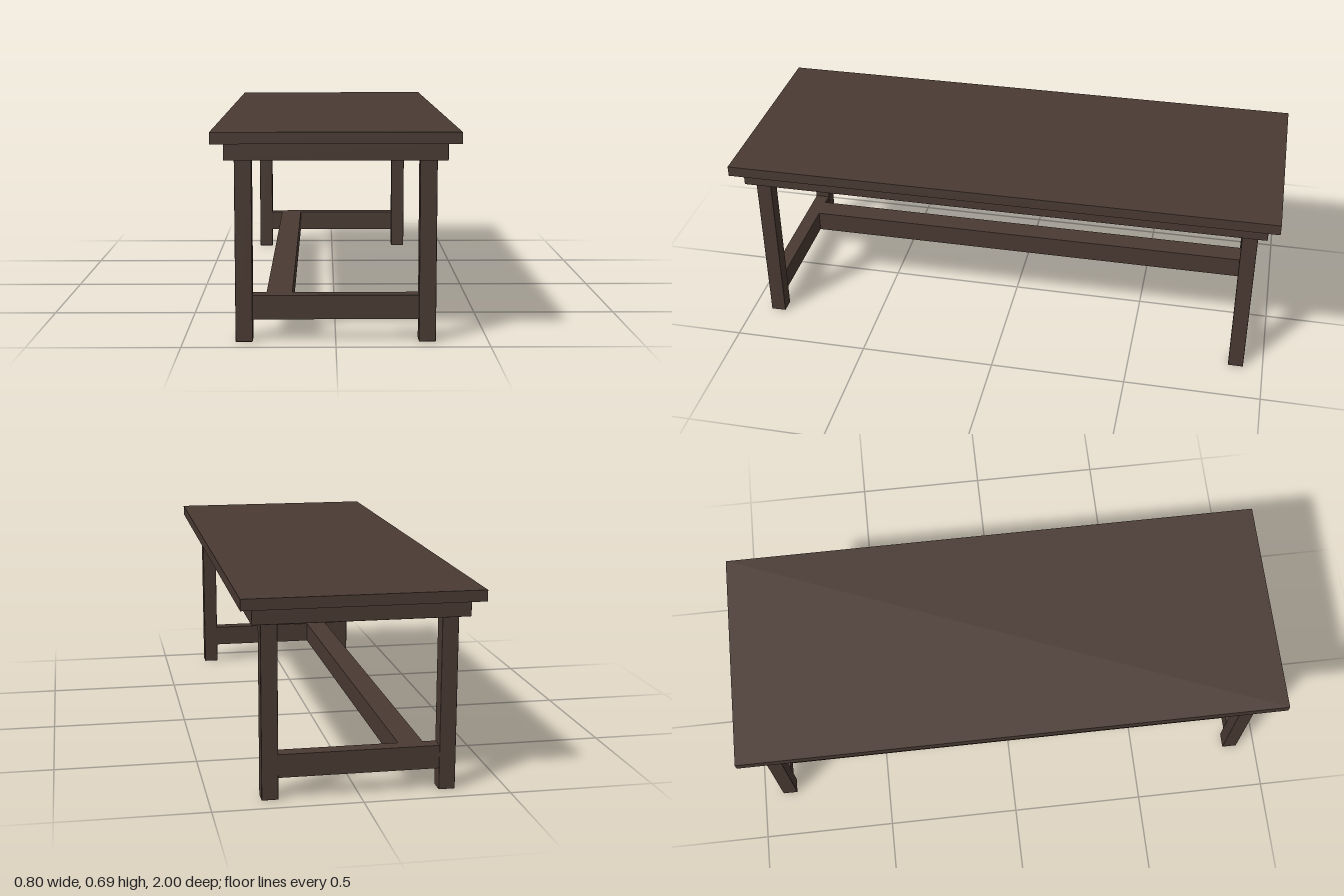
import * as THREE from 'three';
import { RoundedBoxGeometry } from 'three/addons/geometries/RoundedBoxGeometry.js';

export function createModel() {
  const model = new THREE.Group();
  model.name = 'diningTable';
  const darkWood = new THREE.MeshStandardMaterial({ color: 0x4a3a33 });
  darkWood.name = 'darkWood';

  // A board given by its size, centre and a tiny edge chamfer (0 for sharp edges)
  function board(name, [w, h, d], [x, y, z], chamfer = 0) {
    const geometry = chamfer
      ? new RoundedBoxGeometry(w, h, d, 1, chamfer)
      : new THREE.BoxGeometry(w, h, d);
    const mesh = new THREE.Mesh(geometry, darkWood);
    mesh.name = name;
    mesh.position.set(x, y, z);
    model.add(mesh);
  }

  // Top slab and the solid apron beneath it
  board('tableTop', [0.8, 0.038, 2], [0, 0.676, 0]);
  board('apron', [0.72, 0.057, 1.92], [0, 0.6285, 0], 0.002);

  for (const [end, sz] of [['front', 1], ['back', -1]]) {
    // Corner legs
    for (const [side, sx] of [['Left', 1], ['Right', -1]]) {
      board(`${end}${side}Leg`, [0.056, 0.6, 0.056], [0.3 * sx, 0.3, 0.9 * sz], 0.002);
    }
    // Low rail joining the two legs at this end
    board(`${end}Rail`, [0.546, 0.08, 0.052], [0, 0.115, 0.9 * sz]);
  }

  // Long stretcher between the end rails, set towards one side
  board('longStretcher', [0.085, 0.08, 1.75], [-0.185, 0.115, 0]);

  return model;
}
